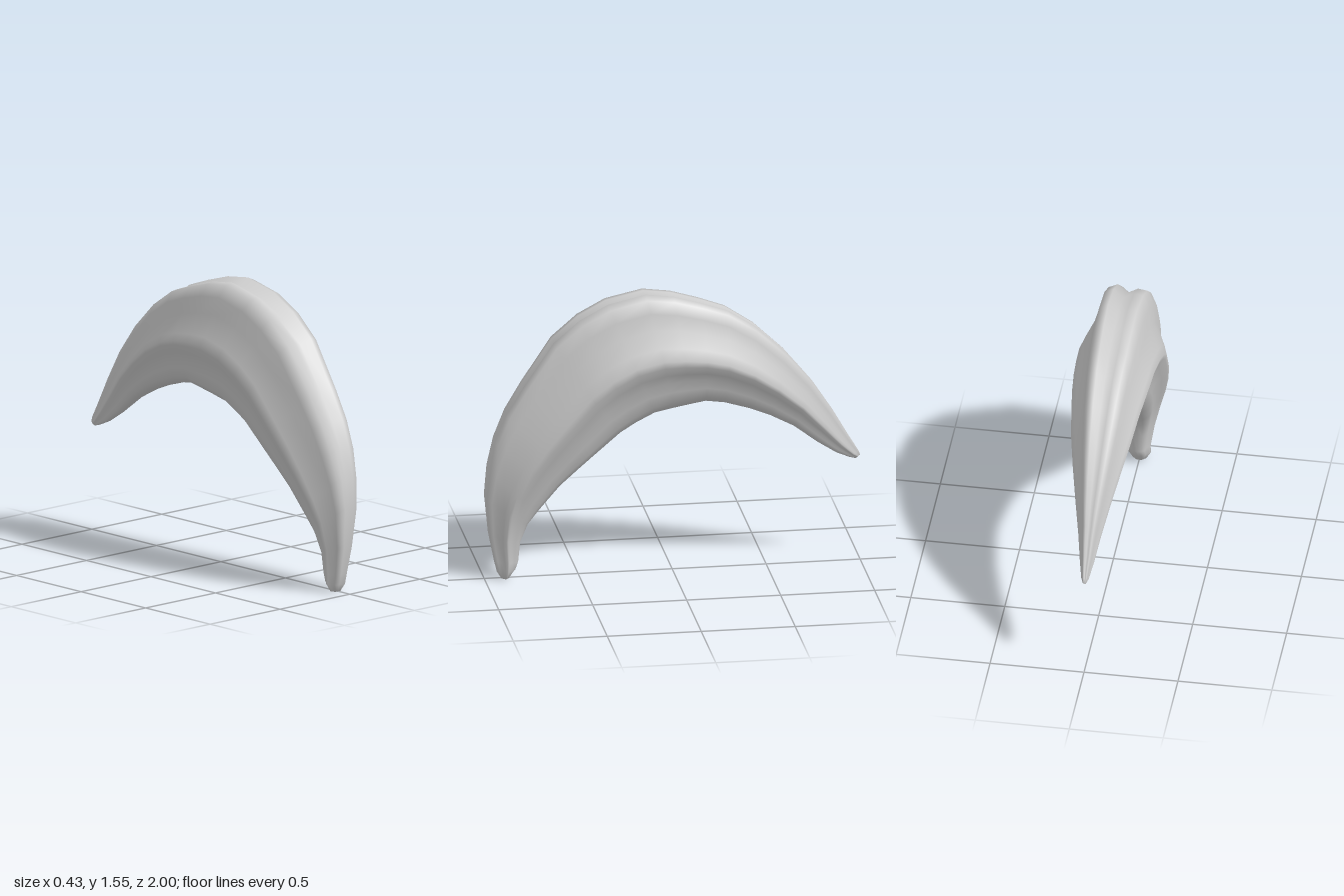
import * as THREE from 'three';

// Stations along the curve: outer z, outer y, inner z, inner y, half width
const STATIONS = [
  [0.91, 0.0, 0.87, 0.0, 0.035], [0.935, 0.04, 0.835, 0.05, 0.06], [0.95, 0.1, 0.82, 0.09, 0.06],
  [0.98, 0.25, 0.81, 0.2, 0.08], [1.0, 0.46, 0.77, 0.3, 0.115], [0.985, 0.62, 0.71, 0.38, 0.145],
  [0.95, 0.77, 0.6, 0.51, 0.172], [0.89, 0.92, 0.5, 0.6, 0.188], [0.8, 1.07, 0.42, 0.67, 0.2],
  [0.64, 1.31, 0.28, 0.79, 0.213], [0.5, 1.43, 0.2, 0.84, 0.217], [0.35, 1.51, 0.1, 0.89, 0.217],
  [0.15, 1.555, 0.0, 0.91, 0.21], [0.0, 1.535, -0.08, 0.925, 0.205], [-0.15, 1.49, -0.17, 0.94, 0.195],
  [-0.29, 1.44, -0.27, 0.925, 0.18], [-0.44, 1.34, -0.4, 0.885, 0.16], [-0.6, 1.19, -0.51, 0.84, 0.13],
  [-0.74, 1.02, -0.64, 0.77, 0.095], [-0.85, 0.85, -0.77, 0.67, 0.06], [-0.93, 0.71, -0.87, 0.605, 0.038],
  [-0.99, 0.61, -0.94, 0.575, 0.02], [-1.0, 0.585, -0.975, 0.565, 0.008],
];

// Cross-section: across (in half widths), depth (0 outer edge, 1 inner edge)
const UNDERSIDE = [[0.97, 0.57], [0.83, 0.65], [0.69, 0.73], [0.62, 0.82], [0.52, 0.92], [0.3, 0.985]];
const SECTION = [
  [0, 0.06], [0.25, 0], [0.47, 0.03], [0.55, 0.14], [0.66, 0.27], [0.87, 0.41], [1, 0.51],
  ...UNDERSIDE, [0, 1], ...UNDERSIDE.map(([x, d]) => [-x, d]).reverse(),
  [-1, 0.53], [-0.93, 0.46], [-0.69, 0.28], [-0.65, 0.13], [-0.48, 0.03], [-0.25, 0.02],
];

// Skin the cross-sections into one closed smooth surface
function loft() {
  const n = SECTION.length, rows = STATIONS.length;
  const pos = [], index = [];
  for (const [oz, oy, iz, iy, w] of STATIONS) {
    for (const [x, d] of SECTION) pos.push(x * w, oy + (iy - oy) * d, oz + (iz - oz) * d);
  }
  for (let i = 0; i < rows - 1; i++) {
    for (let j = 0; j < n; j++) {
      const k = (j + 1) % n, a = i * n, b = a + n;
      index.push(a + j, a + k, b + j, a + k, b + k, b + j);
    }
  }
  // End caps
  const addCap = (row, flip) => {
    const [oz, oy, iz, iy] = STATIONS[row], centre = pos.length / 3;
    pos.push(0, (oy + iy) / 2, (oz + iz) / 2);
    for (let j = 0; j < n; j++) {
      const a = row * n + j, b = row * n + ((j + 1) % n);
      index.push(centre, flip ? b : a, flip ? a : b);
    }
  };
  addCap(0, true);
  addCap(rows - 1, false);

  const geo = new THREE.BufferGeometry();
  geo.setAttribute('position', new THREE.Float32BufferAttribute(pos, 3));
  geo.setIndex(index);
  geo.computeVertexNormals();
  return geo;
}

export function createModel() {
  const group = new THREE.Group();
  group.name = 'curvedHorn';
  const paleGrey = new THREE.MeshStandardMaterial({ color: 0xcccccc });
  paleGrey.name = 'paleGrey';
  const body = new THREE.Mesh(loft(), paleGrey);
  body.name = 'hornBody';
  group.add(body);
  return group;
}
